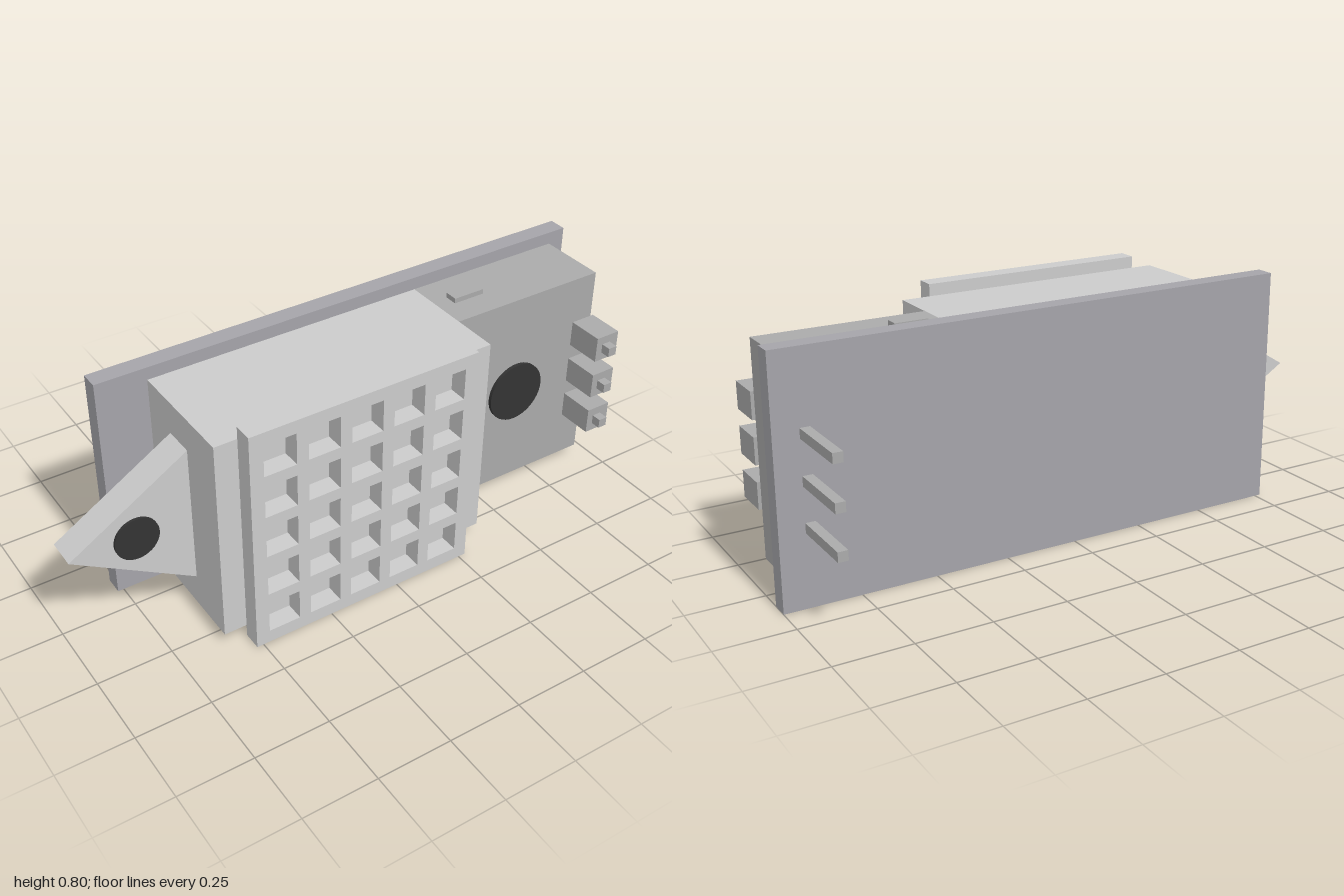
import * as THREE from 'three';

const mat = (color) => new THREE.MeshStandardMaterial({ color, flatShading: true });

export function createModel() {
  const group = new THREE.Group();
  const light = mat(0xcccccc), mid = mat(0xaaaaaa), board = mat(0xa5a4a9), dark = mat(0x333333);
  const midY = 0.4;

  const add = (name, geometry, material) => {
    const mesh = new THREE.Mesh(geometry, material);
    mesh.name = name;
    group.add(mesh);
    return mesh;
  };
  // Box given by its extents on each axis
  const box = (name, material, [x0, x1], [y0, y1], [z0, z1]) =>
    add(name, new THREE.BoxGeometry(x1 - x0, y1 - y0, z1 - z0), material)
      .position.set((x0 + x1) / 2, (y0 + y1) / 2, (z0 + z1) / 2);
  // Round disc with its axis along z
  const disc = (name, x, r, z0, z1) => {
    const geometry = new THREE.CylinderGeometry(r, r, z1 - z0, 40).rotateX(Math.PI / 2);
    const material = dark.clone();
    material.flatShading = false;
    add(name, geometry, material).position.set(x, midY, (z0 + z1) / 2);
  };
  // Flat outline extruded from z0 to z1
  const extrude = (name, shape, z0, z1) =>
    add(name, new THREE.ExtrudeGeometry(shape, { depth: z1 - z0, bevelEnabled: false }), light)
      .position.set(0, 0, z0);
  const rect = (Type, cx, cy, w, h) => new Type([
    new THREE.Vector2(cx - w / 2, cy - h / 2), new THREE.Vector2(cx + w / 2, cy - h / 2),
    new THREE.Vector2(cx + w / 2, cy + h / 2), new THREE.Vector2(cx - w / 2, cy + h / 2),
  ]);

  // Backing plate and the two stepped housings
  box('backPlate', board, [-0.77, 1], [0, 0.8], [-0.145, -0.083]);
  box('sensorHousing', light, [-0.6, 0.37], [0.045, 0.757], [-0.083, 0.317]);
  box('connectorHousing', mid, [0.37, 0.94], [0.045, 0.757], [-0.083, 0.157]);

  // Front grille with a 5 x 5 field of square openings
  const gridX = -0.125, pitch = 0.149;
  const grille = rect(THREE.Shape, gridX, midY, 0.797, 0.795);
  for (let i = -2; i <= 2; i++) {
    for (let j = -2; j <= 2; j++) {
      grille.holes.push(rect(THREE.Path, gridX + i * pitch, midY + j * pitch, 0.109, 0.109));
    }
  }
  extrude('grille', grille, 0.317, 0.38);

  // Pointed mounting ear with its dark hole
  const ear = new THREE.Shape([
    new THREE.Vector2(-1, midY), new THREE.Vector2(-0.59, midY - 0.249), new THREE.Vector2(-0.59, midY + 0.249),
  ]);
  extrude('mountingEar', ear, 0.047, 0.15);
  disc('earHole', -0.785, 0.073, 0.036, 0.159);

  // Round dial on the connector housing
  disc('dial', 0.625, 0.107, 0.1, 0.169);

  // Three header blocks, each with a pin running right through
  for (const offset of [-0.145, 0, 0.145]) {
    const y = midY + offset;
    box('pinBlock', mid, [0.861, 0.951], [y - 0.045, y + 0.045], [0.157, 0.283]);
    box('pin', mid, [0.885, 0.917], [y - 0.016, y + 0.016], [-0.38, 0.317]);
  }

  // Small latches on the top and bottom edges
  box('topLatch', mid, [0.427, 0.54], [0.75, 0.774], [0.015, 0.061]);
  box('bottomLatch', mid, [0.427, 0.54], [0.028, 0.052], [0.015, 0.061]);

  return group;
}
